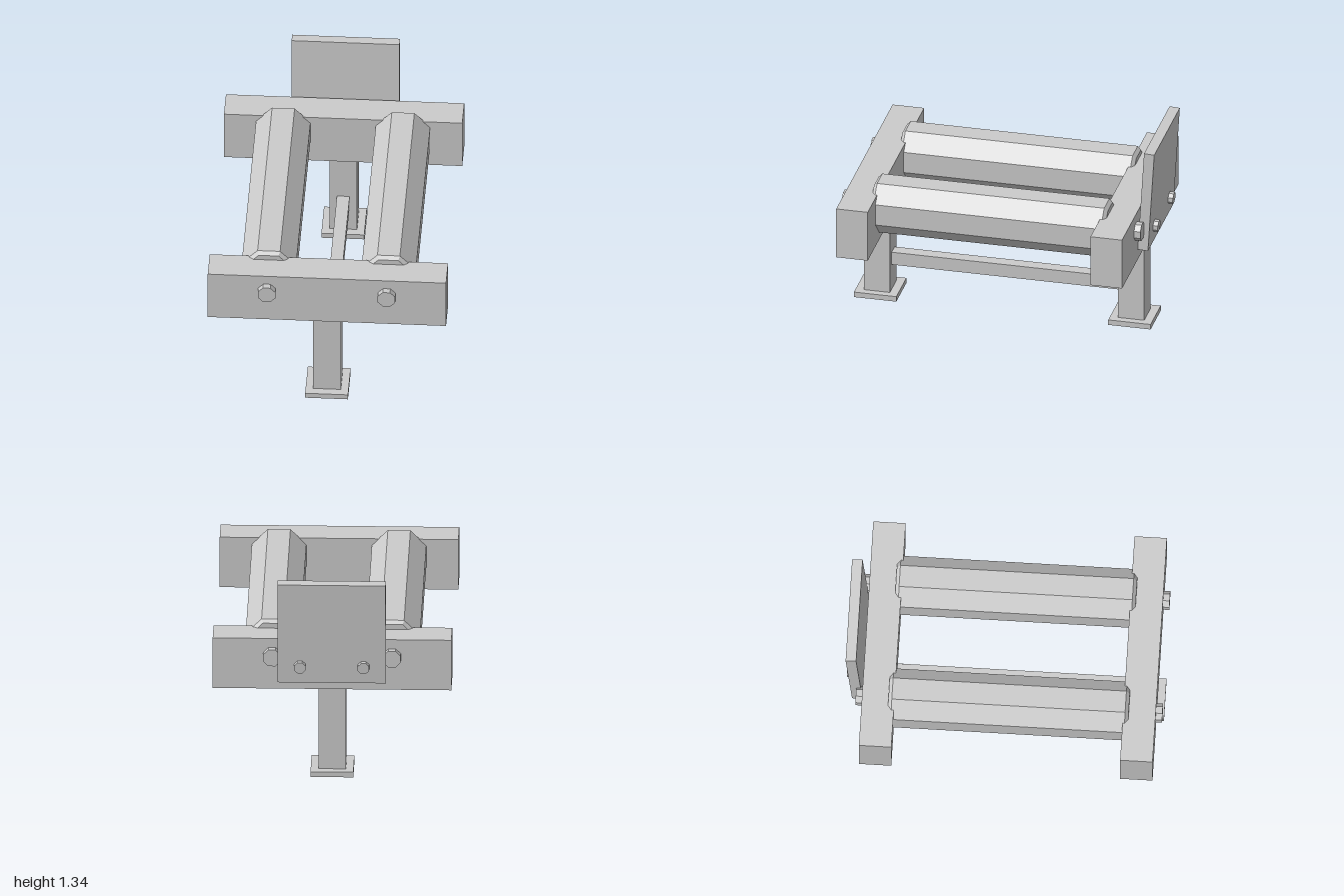
import * as THREE from 'three';

const material = new THREE.MeshStandardMaterial({ color: 0xcccccc, flatShading: true });

// Box given by its extents on each axis
function box(name, [x0, x1], [y0, y1], [z0, z1]) {
  const mesh = new THREE.Mesh(new THREE.BoxGeometry(x1 - x0, y1 - y0, z1 - z0), material);
  mesh.position.set((x0 + x1) / 2, (y0 + y1) / 2, (z0 + z1) / 2);
  mesh.name = name;
  return mesh;
}

// Octagonal bar along z with flats facing up and sideways; apothem is half the width
function octagonBar(name, apothem, z0, z1, x, y, chamfer = 0) {
  const r = apothem / Math.cos(Math.PI / 8);
  const h = (z1 - z0) / 2;
  const half = chamfer
    ? [[r, h - chamfer], [r - chamfer, h], [0, h]]
    : [[r, h], [0, h]];
  const profile = [
    ...half.map(([a, b]) => [a, -b]).reverse(),
    ...half,
  ].map(([a, b]) => new THREE.Vector2(a, b));
  const geometry = new THREE.LatheGeometry(profile, 8)
    .rotateY(Math.PI / 8)
    .rotateX(Math.PI / 2);
  const mesh = new THREE.Mesh(geometry, material);
  mesh.position.set(x, y, (z0 + z1) / 2);
  mesh.name = name;
  return mesh;
}

export function createModel() {
  const model = new THREE.Group();
  model.name = 'rollerStand';

  // End supports: crossbeam, post and foot plate
  for (const [side, centre, dir] of [['front', 0.857, 1], ['back', -0.787, -1]]) {
    const span = (half) => [centre - half, centre + half];
    model.add(
      box(side + 'Beam', [-0.75, 0.75], [0.585, 0.925], span(0.102)),
      box(side + 'Post', [-0.087, 0.087], [0.035, 0.585], span(0.084)),
      box(side + 'Foot', [-0.135, 0.135], [0, 0.035], span(0.137)),
    );
    // Axle heads on the outer face of the beam
    for (const x of [-0.377, 0.377]) {
      const ends = [centre + dir * 0.09, centre + dir * 0.143].sort((a, b) => a - b);
      model.add(octagonBar(side + 'AxleHead', 0.055, ...ends, x, 0.808));
    }
  }

  // Lower stretcher between the posts
  model.add(box('stretcher', [-0.04, 0.04], [0.208, 0.295], [-0.705, 0.775]));

  // Pair of chamfered octagonal rollers
  for (const x of [-0.377, 0.377]) {
    model.add(octagonBar('roller', 0.171, -0.722, 0.79, x, 0.808, 0.022));
  }

  // Leaning back panel with its two bolts
  const panel = new THREE.Group();
  panel.name = 'backPanel';
  panel.add(box('panelBoard', [-0.34, 0.34], [-0.34, 0.34], [-0.033, 0.033]));
  for (const x of [-0.2, 0.2]) {
    panel.add(octagonBar('panelBolt', 0.036, -0.064, -0.02, x, -0.225));
  }
  panel.position.set(0, 0.997, -0.944);
  panel.rotation.x = -0.06;
  model.add(panel);

  return model;
}
